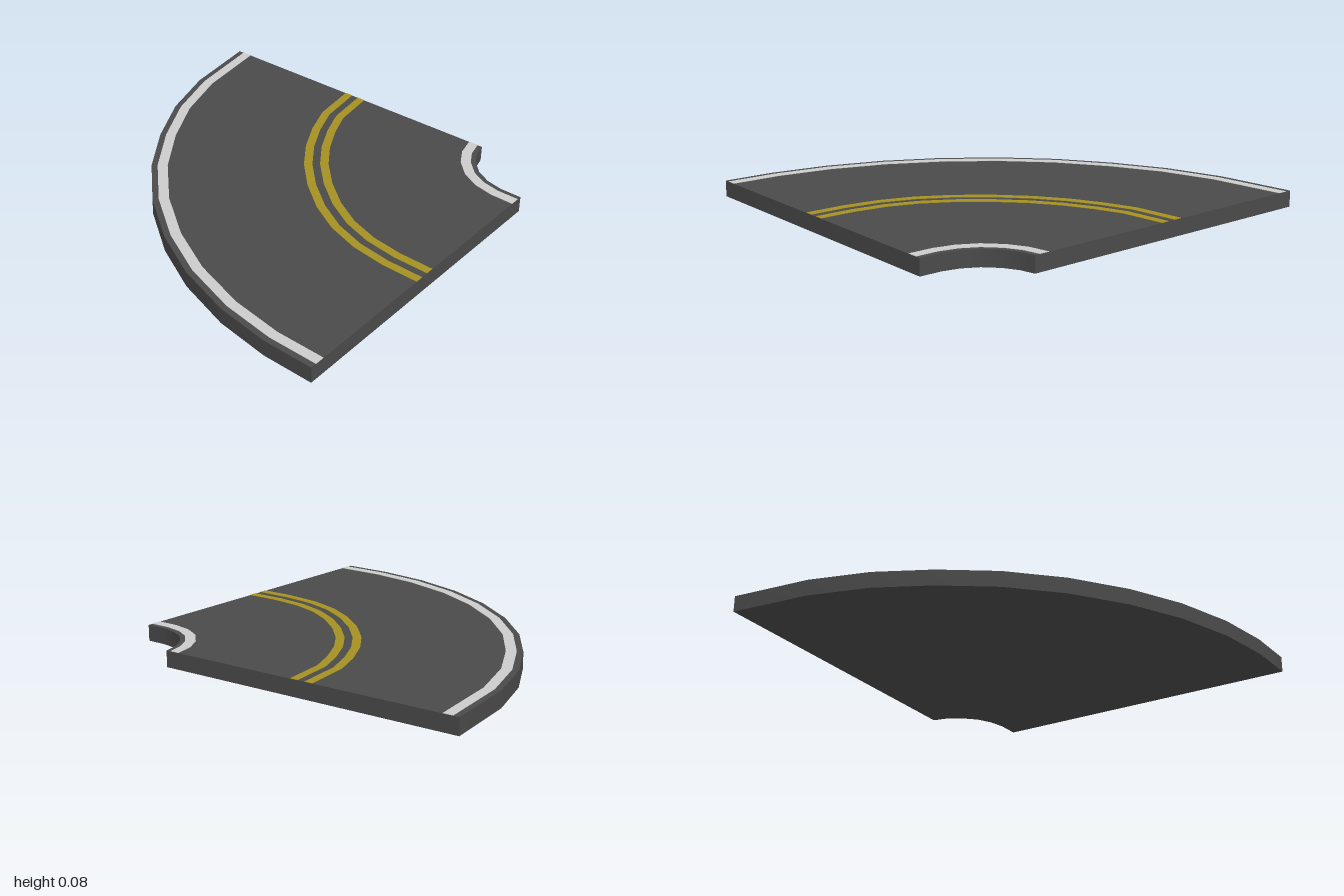
import * as THREE from 'three';
import { toCreasedNormals } from 'three/addons/utils/BufferGeometryUtils.js';

const THICKNESS = 0.08;
const PAINT = 0.002;

// Curves as [x, z], running from the back edge round to the +x edge
const outerCurb = [[-1, -0.945], [-0.95, -0.55], [-0.86, -0.26], [-0.725, 0], [-0.555, 0.245], [-0.34, 0.465],
  [-0.09, 0.65], [0.17, 0.787], [0.46, 0.885], [0.74, 0.933], [1, 0.942]];
const centreCurve = [[-0.25, -0.945], [-0.22, -0.70], [-0.16, -0.54], [-0.08, -0.385], [0.02, -0.243], [0.15, -0.107],
  [0.30, 0.013], [0.46, 0.105], [0.63, 0.163], [0.81, 0.19], [1, 0.195]];
const innerCurb = [[0.61, -0.945], [0.628, -0.87], [0.667, -0.80], [0.73, -0.735], [0.805, -0.695], [0.89, -0.676], [1, -0.674]];

// Shifts a curve towards the centre of the bend; the ends stay on the straight edges
function inset(curve, d) {
  const last = curve.length - 1;
  return curve.map(([x, z], i) => {
    if (i === 0) return [x + d, z];
    if (i === last) return [x, z - d];
    const dx = curve[i + 1][0] - curve[i - 1][0];
    const dz = curve[i + 1][1] - curve[i - 1][1];
    const len = Math.hypot(dx, dz);
    return [x + (dz / len) * d, z - (dx / len) * d];
  });
}

// Flat slab between two curves, with its upper face at the given height
function band(name, a, b, depth, top, material) {
  const points = [...a, ...[...b].reverse()].map(([x, z]) => new THREE.Vector2(x, z));
  const solid = new THREE.ExtrudeGeometry(new THREE.Shape(points), { depth, bevelEnabled: false });
  solid.rotateX(Math.PI / 2).translate(0, top, 0);
  const mesh = new THREE.Mesh(toCreasedNormals(solid, 0.4), material);
  mesh.name = name;
  return mesh;
}

export function createModel() {
  const group = new THREE.Group();
  group.name = 'roadBend';
  const asphalt = new THREE.MeshStandardMaterial({ color: 0x4a4a4a });
  asphalt.name = 'asphalt';
  const white = new THREE.MeshStandardMaterial({ color: 0xcccccc });
  white.name = 'whitePaint';
  const yellow = new THREE.MeshStandardMaterial({ color: 0xa59022 });
  yellow.name = 'yellowPaint';

  // Road slab
  group.add(band('roadSlab', outerCurb, innerCurb, THICKNESS, THICKNESS, asphalt));

  // Painted lines: name, base curve, inset range, colour
  const lines = [
    ['outerEdgeLine', outerCurb, 0.03, 0.08, white],
    ['innerEdgeLine', innerCurb, -0.075, -0.025, white],
    ['outerCentreLine', centreCurve, 0, 0.042, yellow],
    ['innerCentreLine', centreCurve, 0.08, 0.122, yellow],
  ];
  for (const [name, curve, from, to, material] of lines) {
    group.add(band(name, inset(curve, from), inset(curve, to), PAINT, THICKNESS + PAINT, material));
  }
  return group;
}
